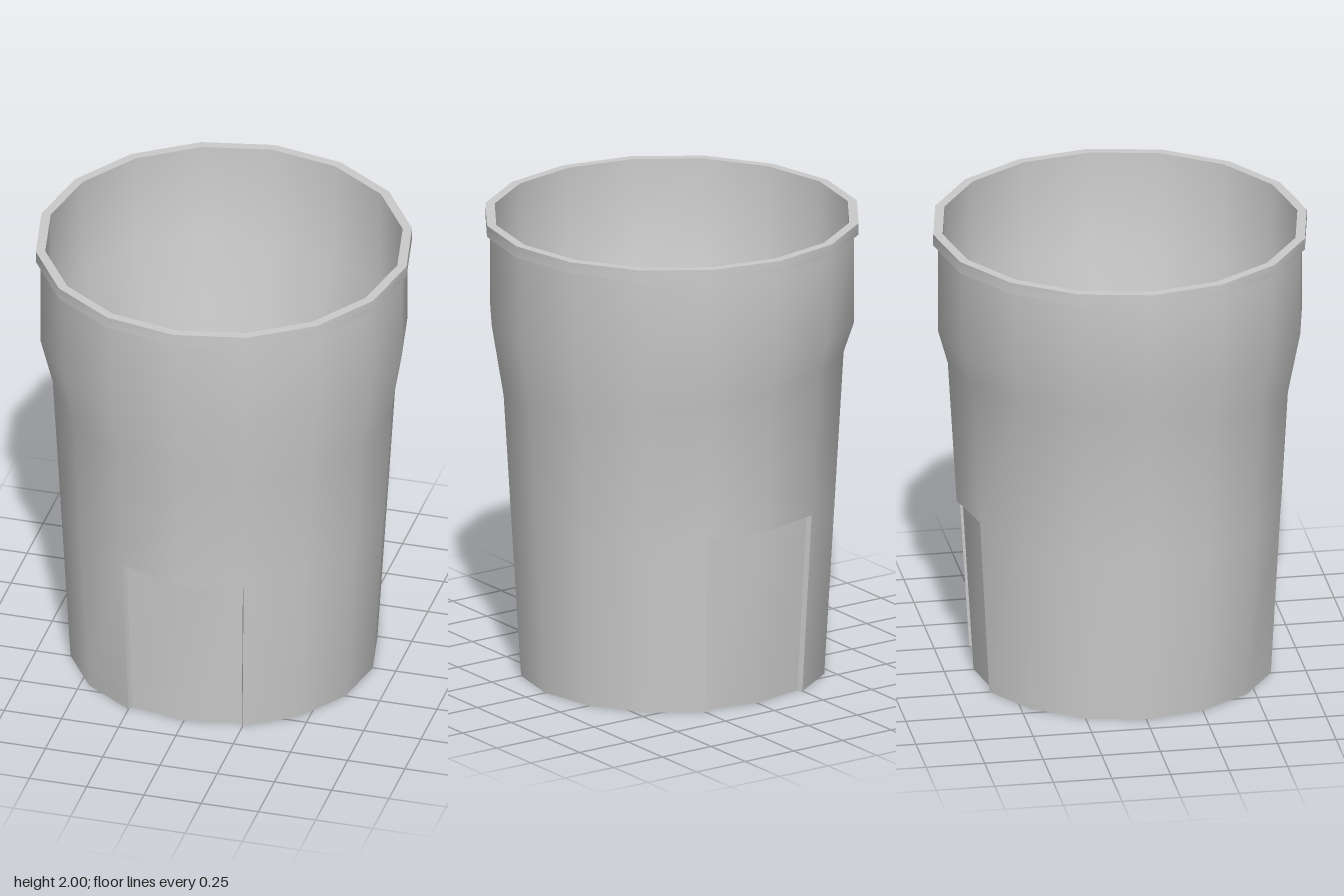
import * as THREE from 'three';
import { toCreasedNormals } from 'three/addons/utils/BufferGeometryUtils.js';

const SIDES = 16;
const BASE_R = 0.65, RECESS = 0.025;
// Top height of the recessed panels, by column (front 3-5, back 11-13)
const PANEL_TOP = { 3: 0.7, 4: 0.7, 5: 0.73, 11: 0.785, 12: 0.775, 13: 0.78 };
const PANEL_SEGMENTS = [3, 4, 11, 12];

const angle = (k) => (k % SIDES) * Math.PI * 2 / SIDES;
const point = (k, [r, y]) =>
  new THREE.Vector3(r * Math.cos(angle(k)), y, r * Math.sin(angle(k)));

// Lower end of the shoulder: a slightly tilted ring
function shoulder(k) {
  const c = Math.cos(angle(k)), s = Math.sin(angle(k));
  return [0.728 - 0.007 * s, 1.33 - 0.06 * c - 0.08 * s];
}

// Radius of the tapered wall at a height below the shoulder
function wallRadius(k, y) {
  const [r, top] = shoulder(k);
  return BASE_R + (r - BASE_R) * y / top;
}

// Outside profile from the middle of the base up to the rim
function outerProfile(k, recessed) {
  const h = PANEL_TOP[k % SIDES] ?? 0.73;
  const d = recessed ? RECESS : 0;
  const r = wallRadius(k, h);
  return [[0, 0], [BASE_R - d, 0], [r - d, h], [r, h], shoulder(k), [0.777, 1.56], [0.777, 1.95]];
}

const rimProfile = () => [[0.777, 1.95], [0.797, 1.95], [0.797, 2], [0.757, 2]];
const innerProfile = () => [[0.757, 2], [0.751, 1.56], [0.665, 1.27], [0.585, 0.06], [0, 0.06]];

function addTriangle(out, a, b, c) {
  if (new THREE.Triangle(a, b, c).getArea() < 1e-6) return;
  for (const p of [a, b, c]) out.push(p.x, p.y, p.z);
}

function addQuad(out, a, b, c, d) {
  addTriangle(out, a, b, c);
  addTriangle(out, a, c, d);
}

function makeMesh(name, positions, side = THREE.FrontSide) {
  const geometry = new THREE.BufferGeometry();
  geometry.setAttribute('position', new THREE.Float32BufferAttribute(positions, 3));
  const material = new THREE.MeshStandardMaterial({ color: 0xcccccc, side });
  const mesh = new THREE.Mesh(toCreasedNormals(geometry, THREE.MathUtils.degToRad(35)), material);
  mesh.name = name;
  return mesh;
}

// Sweep a profile around the axis, one flat segment at a time
function sweep(name, profile) {
  const out = [];
  for (let k = 0; k < SIDES; k++) {
    const recessed = PANEL_SEGMENTS.includes(k);
    const a = profile(k, recessed).map((p) => point(k, p));
    const b = profile(k + 1, recessed).map((p) => point(k + 1, p));
    for (let i = 0; i < a.length - 1; i++) addQuad(out, b[i], a[i], a[i + 1], b[i + 1]);
  }
  return makeMesh(name, out);
}

// Narrow walls at the two sides of each recessed panel
function recessSides() {
  const out = [];
  for (const k of [3, 5, 11, 13]) {
    const [, inLow, inTop, outTop] = outerProfile(k, true).map((p) => point(k, p));
    addQuad(out, inLow, point(k, [BASE_R, 0]), outTop, inTop);
  }
  return makeMesh('recessSides', out, THREE.DoubleSide);
}

export function createModel() {
  const cup = new THREE.Group();
  cup.name = 'cup';
  cup.add(
    sweep('outerWall', outerProfile),
    sweep('rim', rimProfile),
    sweep('innerWall', innerProfile),
    recessSides(),
  );
  return cup;
}
